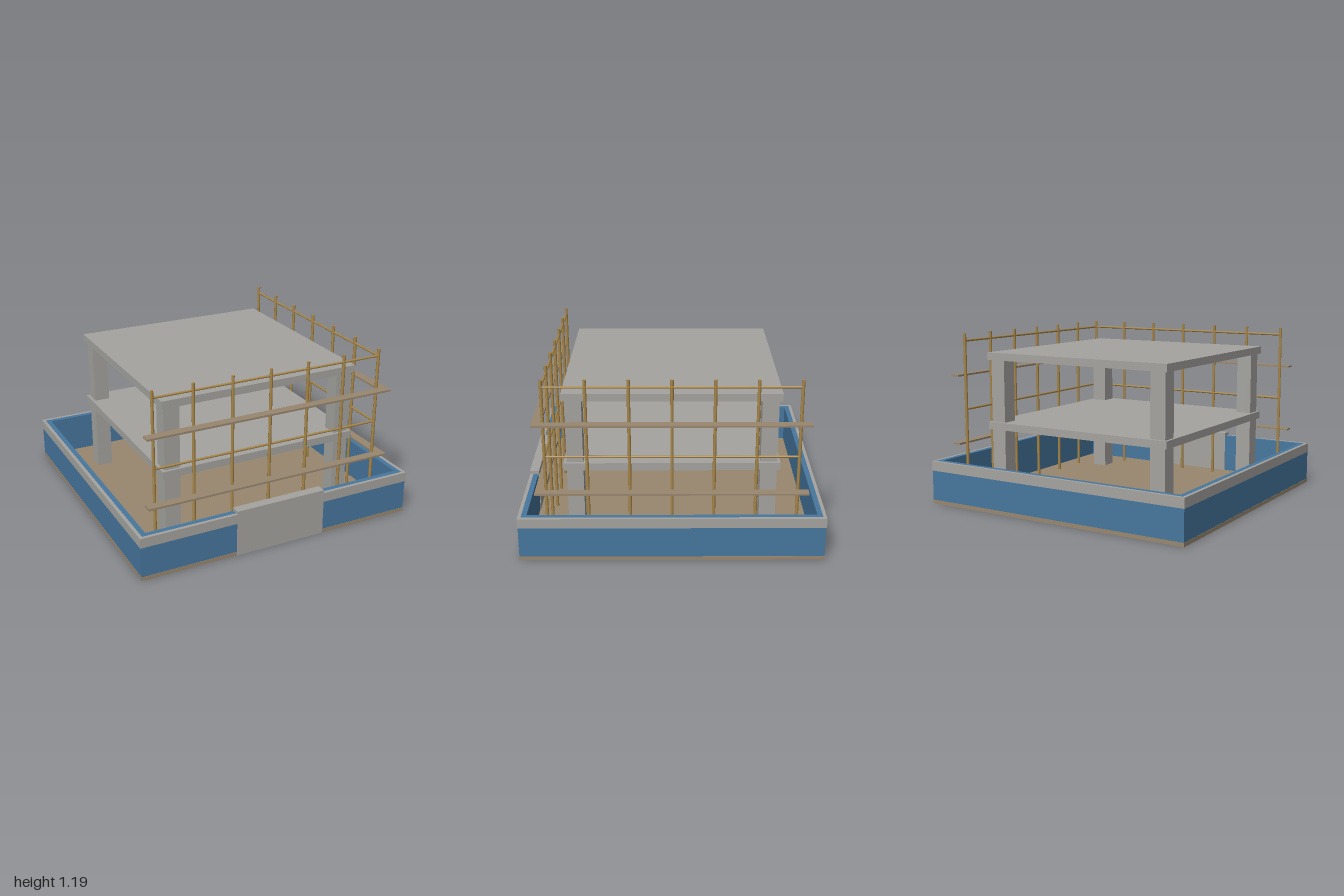
import * as THREE from 'three';

export function createModel() {
  const model = new THREE.Group();
  const mat = (name, color) => {
    const m = new THREE.MeshStandardMaterial({ color });
    m.name = name;
    return m;
  };
  const concrete = mat('concrete grey', 0xa5a4a0);
  const blue = mat('hoarding blue', 0x47779e);
  const earth = mat('earth and plank brown', 0x998870);
  const brass = mat('scaffold ochre', 0xa9884a);

  const add = (parent, name, geometry, material, x = 0, y = 0, z = 0) => {
    const mesh = new THREE.Mesh(geometry, material);
    mesh.name = name;
    mesh.position.set(x, y, z);
    parent.add(mesh);
    return mesh;
  };
  // Box given by its bounds
  const box = (parent, name, material, x0, x1, y0, y1, z0, z1) =>
    add(parent, name, new THREE.BoxGeometry(x1 - x0, y1 - y0, z1 - z0), material,
      (x0 + x1) / 2, (y0 + y1) / 2, (z0 + z1) / 2);
  // Square ring standing from y0 to y1
  const square = (path, r) => path.moveTo(-r, -r).lineTo(r, -r).lineTo(r, r).lineTo(-r, r).closePath();
  const ring = (name, material, outer, inner, y0, y1) => {
    const shape = square(new THREE.Shape(), outer);
    shape.holes.push(square(new THREE.Path(), inner));
    const g = new THREE.ExtrudeGeometry(shape, { depth: y1 - y0, bevelEnabled: false });
    g.rotateX(-Math.PI / 2);
    return add(model, name, g, material, 0, y0, 0);
  };

  // Ground and perimeter hoarding with its capping band and gate
  box(model, 'ground', earth, -0.997, 0.997, 0, 0.026, -0.997, 0.997);
  ring('hoardingLower', blue, 0.995, 0.94, 0.026, 0.235);
  ring('hoardingInnerTop', blue, 0.975, 0.94, 0.235, 0.302);
  ring('hoardingBand', concrete, 0.998, 0.975, 0.235, 0.302);
  box(model, 'gate', concrete, -0.325, 0.325, 0, 0.325, 0.935, 1);

  // Building frame: corner columns and two floor slabs
  const building = new THREE.Group();
  building.name = 'buildingFrame';
  model.add(building);
  const column = new THREE.BoxGeometry(0.11, 0.975, 0.11);
  for (const sx of [-1, 1])
    for (const sz of [-1, 1])
      add(building, 'column', column, concrete, sx * 0.64, 0.5125, sz * 0.64);
  for (const y of [0.513, 1])
    box(building, 'floorSlab', concrete, -0.715, 0.715, y, y + 0.052, -0.715, 0.715);

  // Scaffold along the front and the left side
  const scaffold = new THREE.Group();
  scaffold.name = 'scaffold';
  model.add(scaffold);
  const P = 0.822;
  const pole = new THREE.CylinderGeometry(0.011, 0.011, 1.16, 8);
  const rail = new THREE.CylinderGeometry(0.008, 0.008, 2 * P, 8);
  for (let i = 0; i < 7; i++) {
    const t = -P + (i * P) / 3;
    add(scaffold, 'pole', pole, brass, t, 0.606, P);
    if (i < 6) add(scaffold, 'pole', pole, brass, P, 0.606, t);
  }
  for (const y of [0.66, 1.137]) {
    add(scaffold, 'frontRail', rail, brass, 0, y, P).rotation.z = Math.PI / 2;
    add(scaffold, 'sideRail', rail, brass, P, y, 0).rotation.x = Math.PI / 2;
  }
  for (const y of [0.415, 0.892]) {
    box(scaffold, 'frontPlank', earth, -0.89, 0.892, y, y + 0.013, 0.83, 0.892);
    box(scaffold, 'sidePlank', earth, 0.83, 0.892, y, y + 0.013, -0.89, 0.83);
  }
  return model;
}
